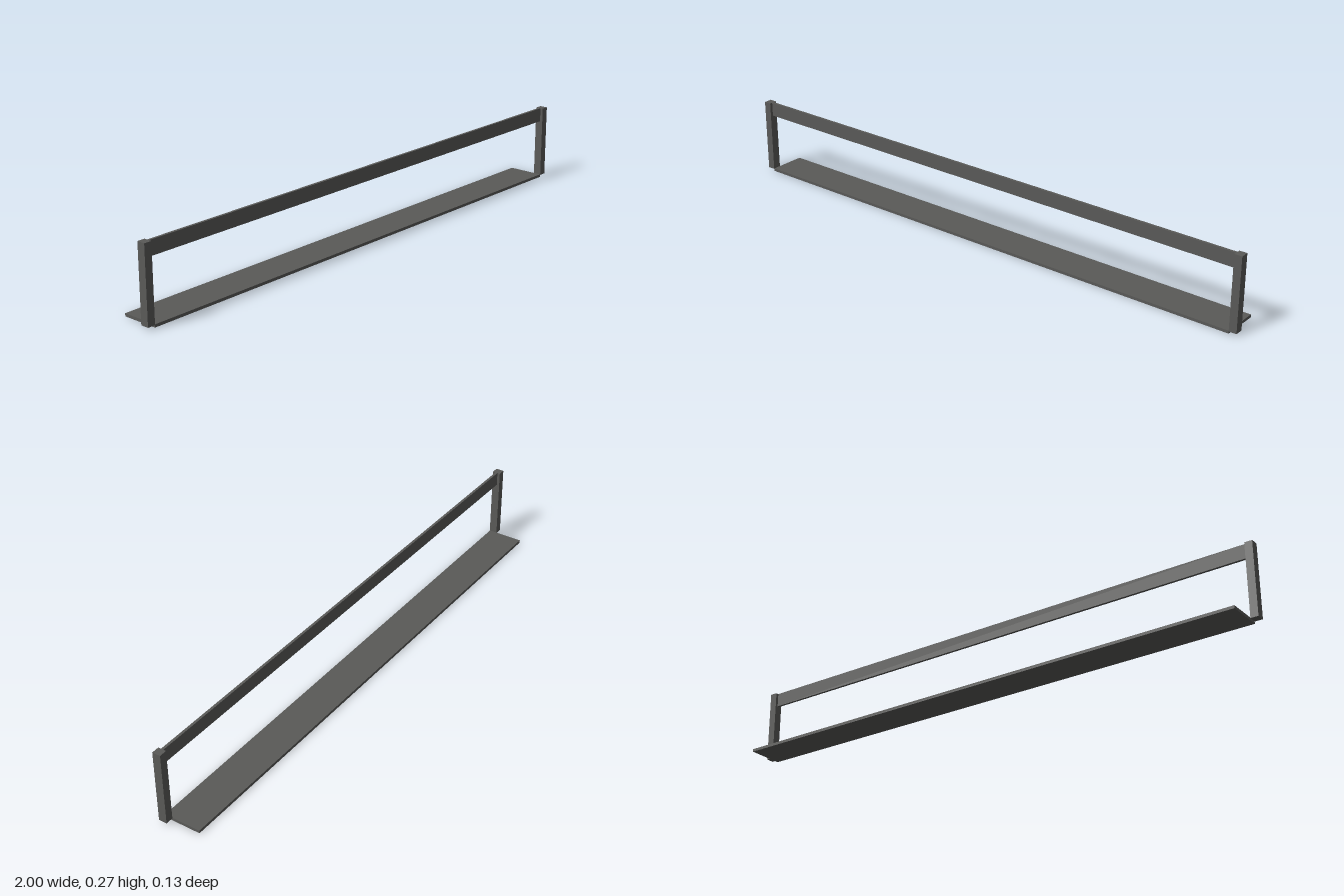
import * as THREE from 'three';

export function createModel() {
  const model = new THREE.Group();
  model.name = 'wallShelf';
  const darkMetal = new THREE.MeshStandardMaterial({ color: 0x5a5a58 });
  darkMetal.name = 'dark grey metal';

  // Box given by its minimum and maximum corners
  function bar(name, min, max) {
    const size = max.map((v, i) => v - min[i]);
    const mesh = new THREE.Mesh(new THREE.BoxGeometry(...size), darkMetal);
    mesh.position.set(...max.map((v, i) => (v + min[i]) / 2));
    mesh.name = name;
    model.add(mesh);
  }

  // Flat shelf plate
  bar('shelf', [-0.973, 0, -0.065], [0.973, 0.01, 0.065]);

  // Square end posts at the front edge of the shelf
  bar('rightPost', [-1, 0.008, 0.037], [-0.973, 0.267, 0.066]);
  bar('leftPost', [0.973, 0.008, 0.037], [1, 0.267, 0.066]);

  // Thin top rail, centred in the depth of the posts
  bar('topRail', [-0.973, 0.217, 0.047], [0.973, 0.267, 0.056]);

  return model;
}
